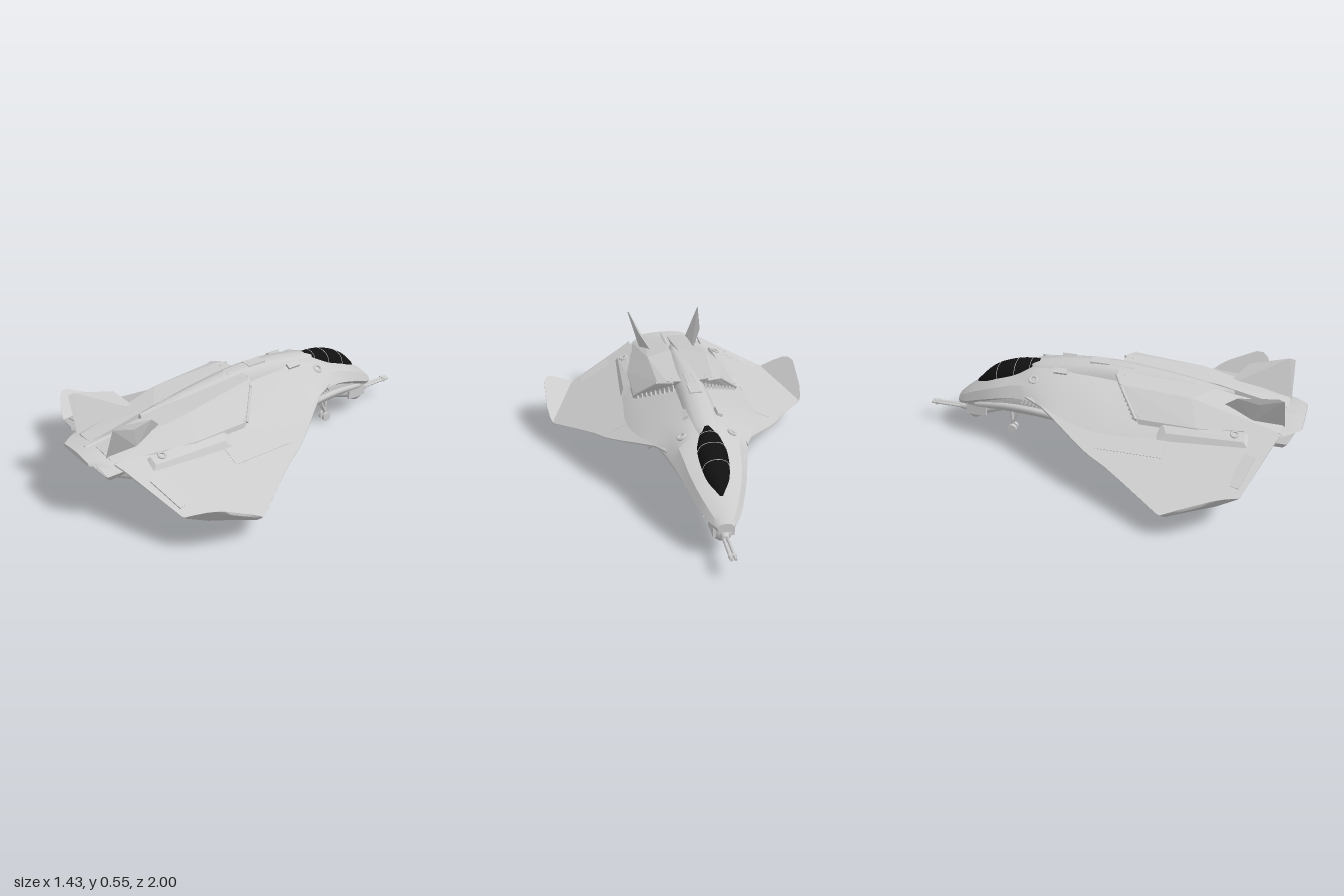
import * as THREE from 'three';
import { toCreasedNormals } from 'three/addons/utils/BufferGeometryUtils.js';
import { ConvexGeometry } from 'three/addons/geometries/ConvexGeometry.js';

const grey = new THREE.MeshStandardMaterial({ color: 0xcccccc, side: THREE.DoubleSide });
const black = new THREE.MeshStandardMaterial({ color: 0x111111 });
const V = (x, y, z) => new THREE.Vector3(x, y, z);

// Skin a list of closed rings (counter-clockwise seen from the last one), capped at both ends
function loft(rings, crease = 0.5) {
  const n = rings[0].length, m = rings.length, pos = [], index = [];
  rings.forEach(r => r.forEach(p => pos.push(p.x, p.y, p.z)));
  for (let i = 0; i < m - 1; i++) for (let j = 0; j < n; j++) {
    const k = (j + 1) % n, a = i * n + j, b = i * n + k, c = b + n, d = a + n;
    index.push(a, b, c, a, c, d);
  }
  [0, m - 1].forEach((i, end) => {
    const c = rings[i].reduce((s, p) => s.add(p), V(0, 0, 0)).divideScalar(n);
    const id = pos.length / 3;
    pos.push(c.x, c.y, c.z);
    for (let j = 0; j < n; j++) {
      const a = i * n + j, b = i * n + (j + 1) % n;
      end ? index.push(id, a, b) : index.push(id, b, a);
    }
  });
  const g = new THREE.BufferGeometry();
  g.setAttribute('position', new THREE.Float32BufferAttribute(pos, 3));
  g.setIndex(index);
  return toCreasedNormals(g, crease);
}

// Loft of symmetric half sections (bottom centre to top centre), smoothed along z
function hull(stations, section, steps = 48, crease = 0.5) {
  const full = stations.map(s => {
    const half = section(s).map(([x, y]) => V(x, y, s[0]));
    return [...half, ...half.slice(1, -1).reverse().map(p => V(-p.x, p.y, p.z))];
  });
  const curves = full[0].map((_, j) => new THREE.CatmullRomCurve3(full.map(r => r[j]), false, 'centripetal'));
  const rings = [];
  for (let i = 0; i <= steps; i++) rings.push(curves.map(c => c.getPoint(i / steps)));
  return loft(rings, crease);
}

// Piecewise linear lookup
function lookup(table, x) {
  for (let i = 1; i < table.length; i++) {
    const [a, p] = table[i - 1], [b, q] = table[i];
    if (x <= b) return p + (q - p) * Math.max(0, (x - a) / (b - a));
  }
  return table[table.length - 1][1];
}

const leading = [[0.2, -0.4], [0.24, -0.3], [0.31, -0.2], [0.39, -0.09], [0.45, 0], [0.5, 0.1], [0.56, 0.2], [0.685, 0.4], [0.705, 0.44], [0.715, 0.5]];
const trailing = [[0.2, 0.91], [0.25, 0.885], [0.62, 0.745], [0.67, 0.72], [0.7, 0.69], [0.715, 0.65]];
const wingY = x => 0.325 - 0.457 * (x - 0.28);
const wingT = x => THREE.MathUtils.lerp(0.09, 0.015, THREE.MathUtils.smoothstep(x, 0.2, 0.65));

// Drooping delta wing whose outer rear corner folds upward along a diagonal crease
function wing(s) {
  const rings = [], n = 12;
  for (let i = 0; i <= 40; i++) {
    const x = 0.2 + 0.515 * (1 - (1 - i / 40) ** 1.6), z0 = lookup(leading, x), z1 = lookup(trailing, x);
    const crease = THREE.MathUtils.clamp(0.43 - (x - 0.69) * 2.48, z0 + 0.01, z1 - 0.01);
    const point = (k, lower) => {
      const z = k < n ? z0 + (crease - z0) * k / n : crease + (z1 - crease) * (k - n) / n;
      const u = (z - z0) / (z1 - z0);
      const fold = 1.4 * Math.max(0, (x - 0.69) * 0.928 + (z - 0.43) * 0.374);
      const t = wingT(x) * Math.min(1, 0.1 + 6 * u, 0.1 + 5 * (1 - u));
      return V(s * x, wingY(x) + fold - (lower ? t : 0), z);
    };
    const ring = [];
    for (let k = 2 * n; k >= 0; k--) ring.push(point(k, true));
    for (let k = 0; k <= 2 * n; k++) ring.push(point(k, false));
    rings.push(ring);
  }
  return loft(s > 0 ? rings : rings.reverse(), 0.4);
}

export function createModel() {
  const model = new THREE.Group();
  const add = (name, geo, p = [0, 0, 0], r = [0, 0, 0], mat = grey) => {
    const mesh = new THREE.Mesh(geo, mat);
    mesh.name = name;
    mesh.position.set(...p);
    mesh.rotation.set(...r);
    model.add(mesh);
    return mesh;
  };
  const box = (name, w, h, d, p, r) => add(name, new THREE.BoxGeometry(w, h, d), p, r);
  const solid = (name, s, pts) => add(name, new ConvexGeometry(pts.map(([x, y, z]) => V(s * x, y, z))));
  const rod = (name, a, b, r0, r1 = r0) => {
    const A = V(...a), d = V(...b).sub(A);
    const mesh = add(name, new THREE.CylinderGeometry(r1, r0, d.length(), 14), A.clone().addScaledVector(d, 0.5).toArray());
    mesh.quaternion.setFromUnitVectors(V(0, 1, 0), d.normalize());
  };

  // Upper shell: z, edge x/y, shoulder x/y, inner x/y, top y
  add('upperHull', hull([
    [-0.83, 0.04, 0.18, 0.03, 0.195, 0.015, 0.2, 0.2], [-0.78, 0.08, 0.2, 0.06, 0.235, 0.03, 0.245, 0.25],
    [-0.7, 0.115, 0.24, 0.095, 0.285, 0.05, 0.3, 0.305], [-0.6, 0.15, 0.285, 0.125, 0.335, 0.075, 0.355, 0.365],
    [-0.5, 0.175, 0.32, 0.14, 0.375, 0.08, 0.395, 0.41], [-0.4, 0.2, 0.34, 0.155, 0.4, 0.08, 0.44, 0.455],
    [-0.3, 0.24, 0.35, 0.175, 0.4, 0.085, 0.46, 0.475], [-0.2, 0.29, 0.335, 0.2, 0.395, 0.085, 0.465, 0.49],
    [-0.05, 0.33, 0.31, 0.24, 0.38, 0.09, 0.455, 0.49], [0.1, 0.34, 0.3, 0.26, 0.365, 0.09, 0.44, 0.49],
    [0.3, 0.33, 0.3, 0.27, 0.35, 0.1, 0.43, 0.46], [0.6, 0.3, 0.3, 0.25, 0.345, 0.1, 0.4, 0.42],
    [0.8, 0.25, 0.325, 0.2, 0.345, 0.08, 0.37, 0.39], [0.93, 0.18, 0.34, 0.16, 0.355, 0.07, 0.368, 0.375],
    [1, 0.12, 0.345, 0.11, 0.356, 0.06, 0.362, 0.365],
  ], ([z, x1, y1, x2, y2, x3, y3, top]) => {
    const low = y1 - (z > 0.9 ? 0.006 : 0.025);
    return [[0, low], [x1 * 0.8, low], [x1, y1], [x2, y2], [x3, y3], [0, top]];
  }));

  // Belly with a shallow keel channel: z, half width, top y, bottom y
  add('belly', hull([
    [-0.82, 0.04, 0.18, 0.155], [-0.7, 0.08, 0.235, 0.165], [-0.55, 0.11, 0.29, 0.18], [-0.3, 0.14, 0.33, 0.18],
    [-0.1, 0.16, 0.32, 0.155], [0.1, 0.185, 0.31, 0.11], [0.25, 0.195, 0.31, 0.08], [0.5, 0.19, 0.31, 0.095],
    [0.75, 0.175, 0.31, 0.18], [0.88, 0.155, 0.31, 0.24],
  ], ([z, w, t, b]) => {
    const y = f => b + (t - b) * f;
    return [[0, y(0.1)], [w * 0.42, y(0.09)], [w * 0.6, b], [w * 0.76, b], [w * 0.9, y(0.1)], [w * 0.97, y(0.35)], [w, y(0.65)], [w * 0.95, t], [0, t]];
  }, 48, 0.7));

  // Spine and canopy: z, half width, top y
  add('spine', hull([
    [-0.42, 0.05, 0.462], [-0.36, 0.073, 0.475], [-0.2, 0.08, 0.502], [-0.05, 0.075, 0.515], [0.1, 0.07, 0.513],
    [0.3, 0.055, 0.495], [0.5, 0.038, 0.467], [0.64, 0.015, 0.445],
  ], ([z, w, t]) => [[0, t - 0.1], [w * 1.1, t - 0.1], [w, t - 0.04], [w * 0.6, t - 0.008], [0, t]], 40, 0.8));
  const glass = [[-0.725, 0.012, 0.3], [-0.66, 0.05, 0.37], [-0.6, 0.066, 0.412], [-0.5, 0.071, 0.45], [-0.42, 0.055, 0.467], [-0.375, 0.03, 0.474]];
  const dome = ([z, w, t]) => [[0, t - 0.09], [w, t - 0.07], [w * 0.98, t - 0.045], [w * 0.78, t - 0.018], [w * 0.42, t - 0.004], [0, t]];
  add('canopy', hull(glass, dome, 30, 1), [0, 0, 0], [0, 0, 0], black);
  for (const i of [2, 3, 4]) {
    const half = dome(glass[i]).slice(1).map(([x, y]) => V(x, y, glass[i][0]));
    const arc = [...half, ...half.slice(0, -1).reverse().map(p => V(-p.x, p.y, p.z))];
    add('canopyFrame', new THREE.TubeGeometry(new THREE.CatmullRomCurve3(arc), 24, 0.0015, 5));
  }
  // Details along the spine and tail
  box('dorsalHousing', 0.06, 0.02, 0.1, [0, 0.507, -0.05]);
  for (const x of [-0.02, 0, 0.02]) rod('dorsalTube', [x, 0.508, -0.02], [x, 0.503, 0.13], 0.008);
  rod('tailRib', [0, 0.385, 0.73], [0, 0.362, 0.95], 0.015);

  // Rear nozzle: six-sided frame with slats, its top edge raked rearward
  const outline = [[-0.14, 0.045], [0.14, 0.045], [0.18, -0.01], [0.15, -0.05], [-0.15, -0.05], [-0.18, -0.01]];
  const frame = new THREE.Shape(outline.map(([x, y]) => new THREE.Vector2(x, y)));
  frame.holes.push(new THREE.Path(outline.map(([x, y]) => new THREE.Vector2(x * 0.9, y * 0.76)).reverse()));
  const nozzle = new THREE.ExtrudeGeometry(frame, { depth: 0.09, bevelEnabled: false });
  nozzle.applyMatrix4(new THREE.Matrix4().set(1, 0, 0, 0, 0, 1, 0, 0, 0, 0.6, 1, 0, 0, 0, 0, 1));
  add('nozzleFrame', nozzle, [0, 0.298, 0.855]);
  for (let i = -2; i <= 2; i++) box('nozzleSlat', 0.29 - Math.abs(i) * 0.015, 0.006, 0.03, [0, 0.295 + i * 0.015, 0.915 + i * 0.009]);
  box('nozzleDivider', 0.012, 0.075, 0.02, [0, 0.295, 0.92], [0.5, 0, 0]);
  box('rearVent', 0.2, 0.016, 0.07, [0, 0.212, 0.78], [-0.42, 0, 0]);
  box('rearHatch', 0.15, 0.016, 0.11, [0, 0.162, 0.66], [-0.35, 0, 0]);

  for (const s of [1, -1]) {
    add('wing', wing(s));

    // Faceted engine housing with a raked intake
    solid('engineHousing', s, [
      [0.03, 0.505, 0.05], [0.12, 0.505, 0.07], [0.165, 0.49, 0.1], [0.275, 0.375, 0.2], [0.28, 0.32, 0.23], [0.03, 0.3, 0.16],
      [0.16, 0.467, 0.45], [0.268, 0.365, 0.5], [0.27, 0.32, 0.5], [0.02, 0.455, 0.55],
      [0.18, 0.35, 0.9], [0.11, 0.375, 0.91], [0.02, 0.375, 0.91], [0.18, 0.33, 0.86], [0.02, 0.32, 0.86],
    ]);
    for (let i = 0; i < 9; i++) {
      const t = i / 8;
      box('intakeSlat', 0.008, 0.1 - 0.06 * t, 0.03, [s * (0.09 + 0.17 * t), 0.455 - 0.085 * t, 0.085 + 0.11 * t], [0.5, s * 0.4, 0]);
    }
    rod('intakeLip', [s * 0.09, 0.5, 0.055], [s * 0.165, 0.486, 0.095], 0.008);
    rod('intakeLip', [s * 0.165, 0.486, 0.095], [s * 0.275, 0.372, 0.2], 0.008);

    // Canted tail fin
    solid('tailFin', s, [
      [0.1, 0.4, 0.58], [0.125, 0.4, 0.76], [0.16, 0.38, 0.76], [0.13, 0.36, 0.915],
      [0.172, 0.508, 0.68], [0.2, 0.553, 0.88], [0.204, 0.545, 0.91], [0.19, 0.5, 0.79],
    ]);

    // Raised fairing beside the housing
    solid('rootFairing', s, [
      [0.26, 0.37, 0.33], [0.31, 0.34, 0.36], [0.34, 0.28, 0.3], [0.24, 0.36, 0.74], [0.29, 0.34, 0.74], [0.31, 0.29, 0.78], [0.2, 0.3, 0.8],
    ]);
    add('fairingPort', new THREE.TorusGeometry(0.017, 0.006, 8, 20), [s * 0.265, 0.362, 0.69], [Math.PI / 2, -s * 0.3, 0]);
    add('shoulderPort', new THREE.TorusGeometry(0.019, 0.007, 8, 24), [s * 0.125, 0.424, -0.375], [Math.PI / 2, -s * 0.53, 0]);
    box('sideBlister', 0.03, 0.015, 0.07, [s * 0.085, 0.47, -0.24], [0, 0, -s * 0.5]);

    // Louvres in the flank below the hull edge
    for (let i = 0; i < 14; i++)
      box('flankLouvre', 0.08, 0.035, 0.005, [s * (0.125 + i * 0.004), 0.295, -0.43 + i * 0.021], [0.5, 0, s * 0.4]);
    add('lowerRail', new THREE.TubeGeometry(new THREE.CatmullRomCurve3([
      [0.07, 0.19, -0.72], [0.12, 0.235, -0.5], [0.155, 0.245, -0.3], [0.19, 0.22, -0.05], [0.2, 0.205, 0.2],
    ].map(([x, y, z]) => V(s * x, y, z))), 30, 0.017, 8));

    // Under-wing bays and hatches
    solid('sideBay', s, [
      [0.17, 0.26, 0.12], [0.25, 0.27, 0.14], [0.18, 0.185, 0.3], [0.29, 0.185, 0.32], [0.29, 0.25, 0.32],
      [0.17, 0.185, 0.55], [0.29, 0.185, 0.53], [0.29, 0.25, 0.56], [0.17, 0.25, 0.72], [0.25, 0.26, 0.7],
    ]);
    for (const [x, z, l] of [[0.33, 0.12, 0.2], [0.37, 0.5, 0.24], [0.5, 0.45, 0.18]])
      box('wingHatch', 0.07, 0.014, l, [s * x, wingY(x) - wingT(x), z], [0, 0, -s * 0.25]);
    rod('wingPylon', [s * 0.33, 0.24, 0.3], [s * 0.33, 0.15, 0.3], 0.011, 0.008);
    box('pylonMount', 0.04, 0.025, 0.08, [s * 0.33, 0.205, 0.3]);
    rod('wingPod', [s * 0.49, 0.185, 0.4], [s * 0.49, 0.185, 0.54], 0.012);
    // Thin panels on the wing's upper side
    box('flap', 0.19, 0.006, 0.06, [s * 0.42, wingY(0.42) + 0.001, 0.755], [0, s * 0.3, -s * 0.428]);
    box('wingPanel', 0.1, 0.006, 0.34, [s * 0.37, wingY(0.37) - 0.001, 0.2], [0, 0, -s * 0.428]);

    // Main gear bogie with two pairs of wheels
    box('gearBeam', 0.035, 0.02, 0.19, [s * 0.165, 0.078, 0.325]);
    rod('gearLeg', [s * 0.165, 0.15, 0.32], [s * 0.165, 0.065, 0.32], 0.014);
    for (const z of [0.283, 0.357]) {
      rod('gearStrut', [s * 0.165, 0.08, z], [s * 0.165, 0.027, z], 0.01);
      for (const d of [-0.018, 0.018])
        add('mainWheel', new THREE.CylinderGeometry(0.027, 0.027, 0.02, 20), [s * 0.165 + d, 0.027, z], [0, 0, Math.PI / 2]);
    }
    box('gearDoor', 0.006, 0.045, 0.15, [s * 0.192, 0.092, 0.325], [0, 0, s * 0.15]);

    // Nose wheel and gun barrel
    add('noseWheel', new THREE.CylinderGeometry(0.024, 0.024, 0.016, 18), [s * 0.014, 0.024, -0.545], [0, 0, Math.PI / 2]);
    rod('noseStrut', [s * 0.02, 0.19, -0.47], [s * 0.006, 0.06, -0.54], 0.007);
    rod('gunBarrel', [s * 0.01, 0.118, -0.78], [s * 0.01, 0.118, -1], 0.008);
    box('turretCheek', 0.015, 0.06, 0.11, [s * 0.045, 0.135, -0.73]);
  }

  // Nose gear leg
  rod('noseLeg', [0, 0.19, -0.55], [0, 0.024, -0.545], 0.009);
  // Chin turret
  add('turretBall', new THREE.SphereGeometry(0.05, 20, 14), [0, 0.115, -0.75]);
  rod('turretMount', [0, 0.165, -0.58], [0, 0.125, -0.74], 0.03, 0.045);
  rod('gunSleeve', [0, 0.118, -0.77], [0, 0.118, -0.835], 0.024, 0.018);
  box('muzzleClamp', 0.038, 0.018, 0.012, [0, 0.118, -0.97]);
  return model;
}
